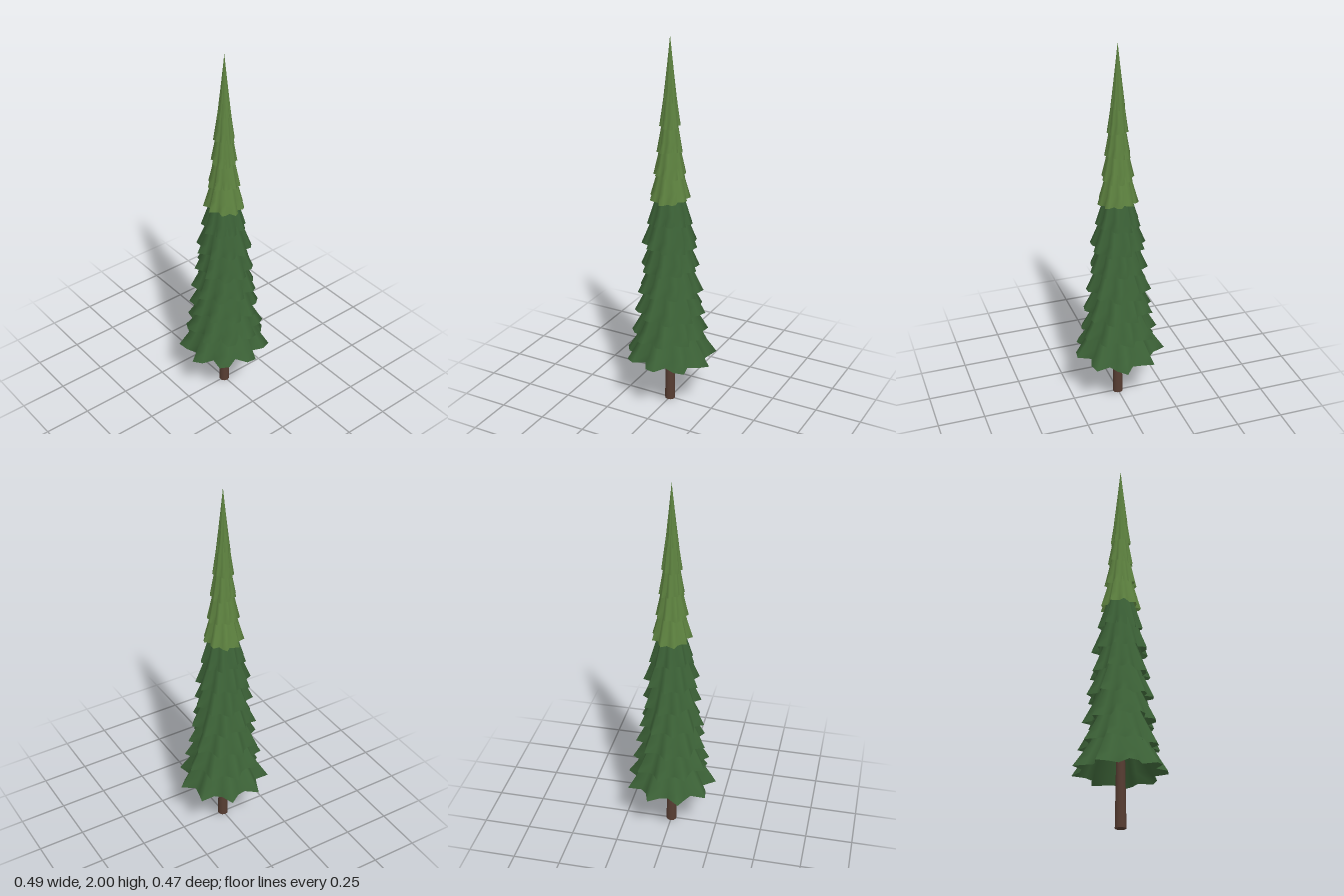
import * as THREE from 'three';

const SEGMENTS = 28, ROWS = 6, LOBES = 9;

// One flared skirt of foliage: a star-shaped ring that narrows and rounds off upwards
function tierGeometry(radius, bottom, height, topScale, turn, index) {
  const positions = [], indices = [];
  for (let row = 0; row <= ROWS; row++) {
    const t = row / ROWS;
    const spread = 1 - (1 - topScale) * t;
    const lobe = 0.172 * Math.pow(1 - t, 1.5);
    for (let i = 0; i < SEGMENTS; i++) {
      const a = (i / SEGMENTS) * Math.PI * 2;
      const r = radius * (spread + lobe * Math.cos(LOBES * a - 0.44));
      const wave = 0.007 * (1 - Math.cos(2 * a + index * 1.9)) * (1 - t);
      const angle = a + turn;
      positions.push(r * Math.cos(angle), bottom + height * t + wave, r * Math.sin(angle));
    }
  }
  for (let row = 0; row < ROWS; row++) {
    for (let i = 0; i < SEGMENTS; i++) {
      const j = (i + 1) % SEGMENTS;
      const a = row * SEGMENTS + i, b = row * SEGMENTS + j;
      const c = a + SEGMENTS, d = b + SEGMENTS;
      indices.push(a, c, b, b, c, d);
    }
  }
  const geometry = new THREE.BufferGeometry();
  geometry.setAttribute('position', new THREE.Float32BufferAttribute(positions, 3));
  geometry.setIndex(indices);
  geometry.computeVertexNormals();
  return geometry;
}

export function createModel() {
  const tree = new THREE.Group();
  tree.name = 'coniferTree';

  const bark = new THREE.MeshStandardMaterial({ name: 'bark brown', color: 0x573d32 });
  const dark = new THREE.MeshStandardMaterial({ name: 'dark green', color: 0x3c6237, side: THREE.DoubleSide });
  const light = new THREE.MeshStandardMaterial({ name: 'light green', color: 0x5e8340, side: THREE.DoubleSide });

  // Trunk, running up inside the foliage
  const trunk = new THREE.Mesh(new THREE.CylinderGeometry(0.018, 0.028, 0.6, 10), bark);
  trunk.name = 'trunk';
  trunk.position.y = 0.3;
  tree.add(trunk);

  // Overlapping foliage tiers, each turned a little from the one below
  const tipRadii = [0.25, 0.212, 0.192, 0.177, 0.158, 0.15, 0.12, 0.108, 0.086, 0.068, 0.055, 0.037];
  const spacing = 0.127;
  tipRadii.forEach((tip, i) => {
    const last = i === tipRadii.length - 1;
    const bottom = 0.268 + i * spacing;
    const height = last ? 2 - bottom : 0.33;
    const turn = THREE.MathUtils.degToRad(6 - 11 * i);
    const geometry = tierGeometry(tip / 1.17, bottom, height, last ? 0 : 0.2, turn, i);
    const tier = new THREE.Mesh(geometry, i < 7 ? dark : light);
    tier.name = last ? 'treeTop' : `foliageTier${i + 1}`;
    tree.add(tier);
  });

  return tree;
}
